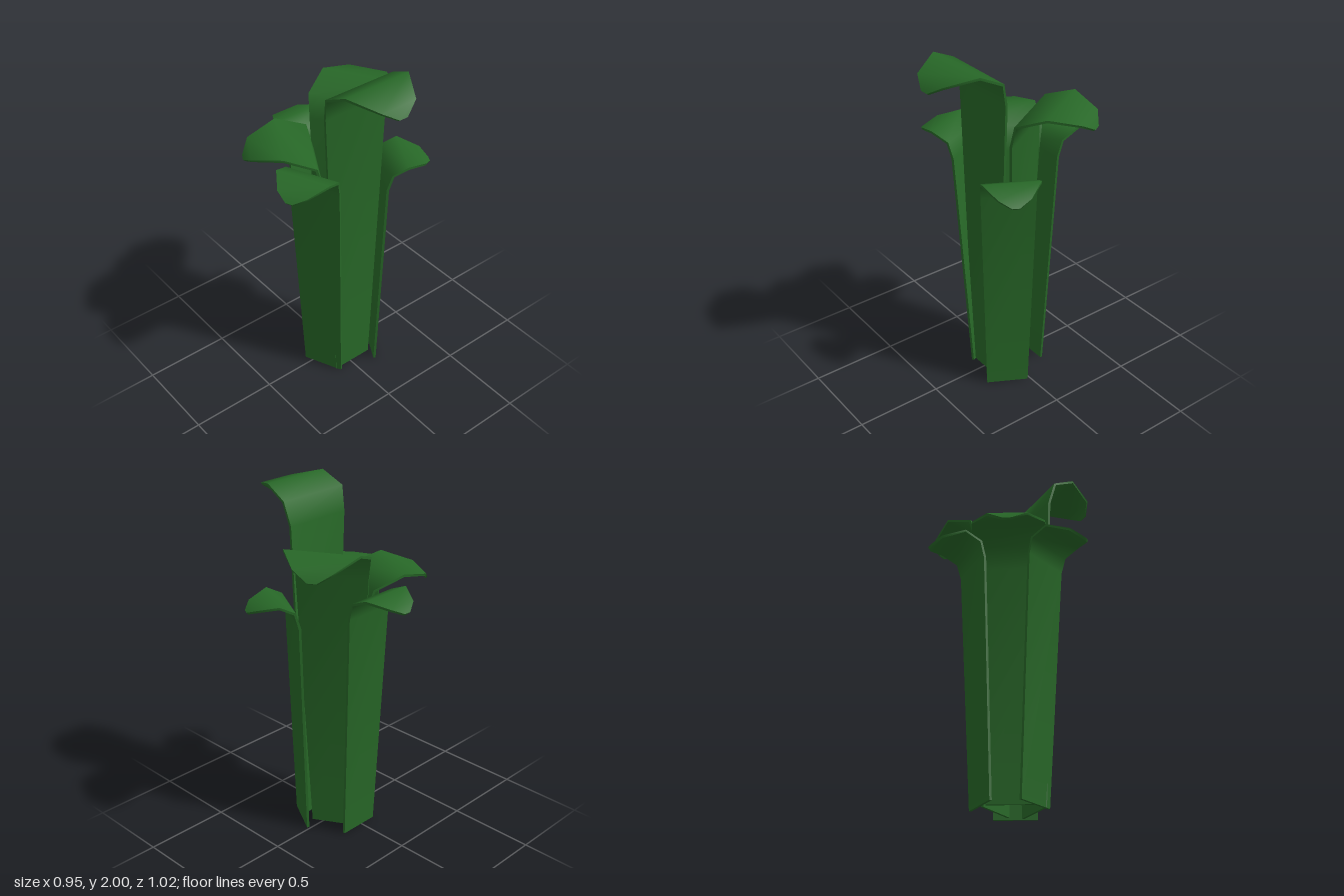
import * as THREE from 'three';
import { toCreasedNormals } from 'three/addons/utils/BufferGeometryUtils.js';

const HALF = 0.007; // half the leaf thickness

// Thin leaf blade from a profile of [outward distance, height, half width].
function bladeGeometry(profile) {
  const pos = [], index = [];
  const last = profile.length - 1;
  profile.forEach(([r, y, w], i) => {
    const a = profile[Math.max(i - 1, 0)], b = profile[Math.min(i + 1, last)];
    const before = new THREE.Vector2(r - a[0], y - a[1]).normalize();
    const after = new THREE.Vector2(b[0] - r, b[1] - y).normalize();
    const t = before.add(after).normalize();
    if (i === 0) t.set(0, 1); // flat cut at the foot
    const dz = t.y * HALF, dy = -t.x * HALF;
    pos.push(w, y + dy, r + dz, -w, y + dy, r + dz, -w, y - dy, r - dz, w, y - dy, r - dz);
  });
  for (let i = 0; i < last; i++) {
    for (let k = 0; k < 4; k++) {
      const n = (k + 1) % 4, p = i * 4, q = p + 4;
      index.push(p + n, p + k, q + k, p + n, q + k, q + n);
    }
  }
  const e = last * 4;
  index.push(0, 1, 2, 0, 2, 3, e, e + 2, e + 1, e, e + 3, e + 2);
  const g = new THREE.BufferGeometry();
  g.setAttribute('position', new THREE.Float32BufferAttribute(pos, 3));
  g.setIndex(index);
  return toCreasedNormals(g, 1.05);
}

// Wide inner leaf: near-upright stem, then a curl ending in a blunt point
function innerProfile(h, foot, top) {
  return [
    [foot, 0, 0.125], [top, h - 0.2, 0.2], [top + 0.032, h - 0.07, 0.218],
    [0.31, h - HALF, 0.203], [0.465, h - 0.05, 0.11], [0.5, h - 0.1, 0.025],
  ];
}

// Narrow outer leaf: leans outward, with a smaller curl
function outerProfile(h, foot, top) {
  return [
    [foot, 0, 0.12], [top, h - 0.14, 0.15], [top + 0.027, h - 0.048, 0.155],
    [0.36, h - HALF, 0.155], [0.47, h - 0.04, 0.085], [0.505, h - 0.07, 0.02],
  ];
}

export function createModel() {
  const group = new THREE.Group();
  group.name = 'leafCluster';
  const green = new THREE.MeshStandardMaterial({ color: 0x276727 });
  green.name = 'leafGreen';

  // name, profile, heading in degrees from the front, x and z offset
  const leaves = [
    ['innerLeafFront', innerProfile(2.0, 0.14, 0.148), 0, 0.015, 0],
    ['innerLeafBackLeft', innerProfile(1.75, 0.095, 0.11), 120, 0.015, 0],
    ['innerLeafBackRight', innerProfile(1.56, 0.095, 0.11), 240, 0.015, 0],
    ['outerLeafLeft', outerProfile(1.42, 0.213, 0.25), 61, 0, 0.015],
    ['outerLeafRight', outerProfile(1.51, 0.15, 0.235), -66, 0, 0],
    ['outerLeafBack', outerProfile(1.51, 0.175, 0.237), 180, 0.02, 0],
  ];
  for (const [name, profile, heading, x, z] of leaves) {
    const leaf = new THREE.Mesh(bladeGeometry(profile), green);
    leaf.name = name;
    leaf.rotation.y = THREE.MathUtils.degToRad(heading);
    leaf.position.set(x, 0, z);
    group.add(leaf);
  }
  return group;
}
